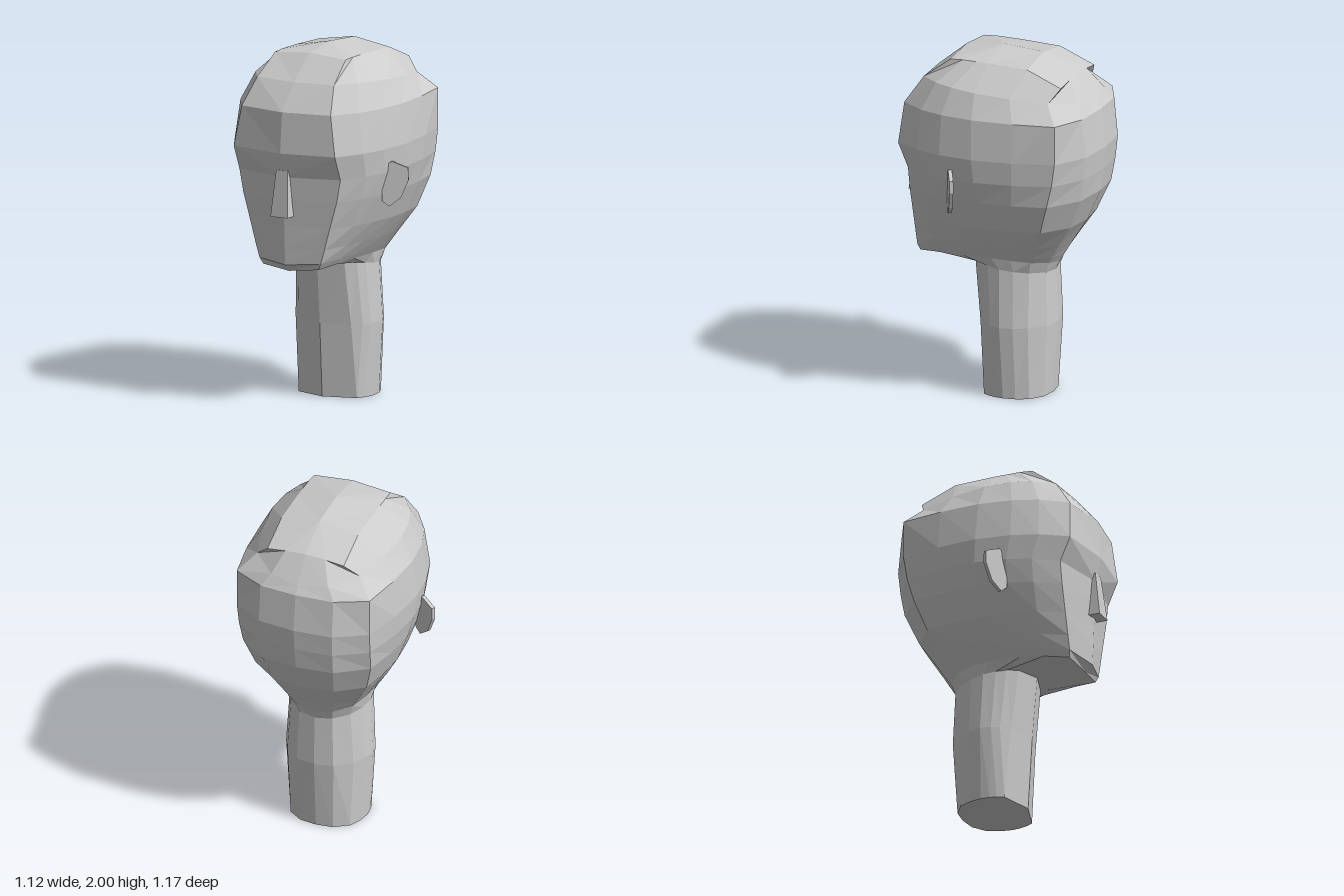
import * as THREE from 'three';

const clay = new THREE.MeshStandardMaterial({ color: 0xcccccc, flatShading: true });
clay.name = 'clay grey';

// Left half of the crown's rim, front to back
const crown = [
  [0, 1.97, 0.26], [0.23, 1.95, 0.255], [0.232, 1.955, 0.18], [0.232, 1.955, 0.10],
  [0.232, 1.955, 0.03], [0.23, 1.948, -0.21], [0.23, 1.865, -0.415],
  [0.12, 1.88, -0.418], [0, 1.89, -0.42],
];

// Cross-sections from upper skull to neck base:
// [front y, back y, side lift, front z, face corner x, z, widest x, z, back corner x, z, back z]
const sections = [
  [1.83, 1.74, 0.04, 0.43, 0.25, 0.41, 0.39, 0.04, 0.31, -0.37, -0.53],
  [1.68, 1.70, 0, 0.555, 0.29, 0.51, 0.46, 0.03, 0.40, -0.45, -0.56],
  [1.45, 1.48, 0, 0.575, 0.33, 0.53, 0.485, 0.02, 0.40, -0.45, -0.587],
  [1.31, 1.35, 0, 0.545, 0.33, 0.47, 0.473, 0.01, 0.395, -0.43, -0.575],
  [1.18, 1.22, 0, 0.54, 0.305, 0.47, 0.44, 0.00, 0.385, -0.395, -0.555],
  [1.03, 1.04, 0, 0.53, 0.26, 0.47, 0.38, 0.00, 0.335, -0.335, -0.475],
  [0.90, 0.90, 0.02, 0.525, 0.225, 0.47, 0.315, 0.00, 0.265, -0.265, -0.385],
  [0.81, 0.81, 0.04, 0.52, 0.20, 0.47, 0.27, 0.00, 0.22, -0.23, -0.33],
  [0.77, 0.77, 0.05, 0.48, 0.18, 0.46, 0.25, 0.00, 0.20, -0.215, -0.305],
  [0.79, 0.72, 0, 0.185, 0.15, 0.14, 0.235, -0.04, 0.18, -0.20, -0.283],
  [0.42, 0.42, 0, 0.155, 0.17, 0.10, 0.255, -0.05, 0.20, -0.20, -0.296],
  [0, 0, 0, 0.13, 0.19, 0.07, 0.225, -0.06, 0.18, -0.20, -0.267],
];
const HALF = 8, N = HALF * 2;

// Closes a half outline into a full ring: front -> left -> back -> right
const mirrorRing = (half) => [
  ...half,
  ...half.slice(1, HALF).reverse().map(([x, y, z]) => [-x, y, z]),
];

// Expands one cross-section into a half outline
function halfRing([yF, yB, lift, zf, xf, zc, w, zw, xb, zcb, zb]) {
  const cheek = (t) => [
    xf + (w - xf) * Math.sin(t * Math.PI / 2) ** 0.7,
    zc + (zw - zc) * t,
  ];
  return [
    [0, zf], [xf, zc], cheek(0.3), cheek(0.6), [w, zw],
    [xb + (w - xb) * 0.71, (zw + zcb) / 2],
    [xb, zcb], [xb * 0.55, zcb + (zb - zcb) * 0.82], [0, zb],
  ].map(([x, z], i) => {
    const f = i / HALF;
    return [x, yF + (yB - yF) * f + lift * Math.sin(f * Math.PI), z];
  });
}

function headGeometry() {
  const rings = [crown, ...sections.map(halfRing)].map(mirrorRing);
  const pos = [];
  const tri = (...corners) => corners.forEach((c) => pos.push(...c));

  // Skin between neighbouring rings
  for (let r = 0; r < rings.length - 1; r++) {
    for (let i = 0; i < N; i++) {
      const j = (i + 1) % N;
      const a = rings[r][i], b = rings[r][j];
      const c = rings[r + 1][i], d = rings[r + 1][j];
      // Diagonals mirror across the centre line
      if (i < HALF) {
        tri(c, d, b);
        tri(c, b, a);
      } else {
        tri(c, d, a);
        tri(d, b, a);
      }
    }
  }

  // Crown with a short ridge, and flat neck base
  const top = rings[0], base = rings[rings.length - 1];
  const ridgeFront = [0, 2, 0.03], ridgeBack = [0, 1.985, -0.21];
  for (let i = 0; i < N; i++) {
    const j = (i + 1) % N;
    tri(top[i], top[j], i < 4 || i >= 12 ? ridgeFront : ridgeBack);
    tri(base[j], base[i], [0, 0, -0.06]);
  }
  tri(top[4], ridgeBack, ridgeFront);
  tri(top[12], ridgeFront, ridgeBack);

  const geo = new THREE.BufferGeometry();
  geo.setAttribute('position', new THREE.Float32BufferAttribute(pos, 3));
  geo.computeVertexNormals();
  return geo;
}

// Wedge that widens and projects further towards the tip
function noseGeometry() {
  const geo = new THREE.BoxGeometry(1, 1, 1);
  const p = geo.attributes.position;
  for (let i = 0; i < p.count; i++) {
    const low = p.getY(i) < 0, front = p.getZ(i) > 0;
    p.setXYZ(i,
      Math.sign(p.getX(i)) * (low ? 0.055 : 0.038),
      low ? 1.09 : 1.35,
      front ? (low ? 0.588 : 0.555) : (low ? 0.52 : 0.47));
  }
  geo.computeVertexNormals();
  return geo;
}

// Thin ear plate swept backwards; s is +1 for left, -1 for right
function earGeometry(s) {
  const outline = [[-0.02, 1.36], [0.035, 1.385], [0.125, 1.35],
    [0.128, 1.28], [0.085, 1.18], [0.02, 1.13], [-0.02, 1.16]];
  const shape = new THREE.Shape(outline.map(([x, y]) => new THREE.Vector2(x * s, y)));
  const geo = new THREE.ExtrudeGeometry(shape, { depth: 0.022, bevelEnabled: false });
  geo.rotateY(s * 0.5);
  geo.translate(s * 0.435, 0, 0.16);
  return geo;
}

export function createModel() {
  const model = new THREE.Group();
  model.name = 'headBust';
  const add = (name, geo) => {
    const mesh = new THREE.Mesh(geo, clay);
    mesh.name = name;
    model.add(mesh);
  };
  add('headAndNeck', headGeometry());
  add('nose', noseGeometry());
  add('leftEar', earGeometry(1));
  add('rightEar', earGeometry(-1));
  return model;
}
